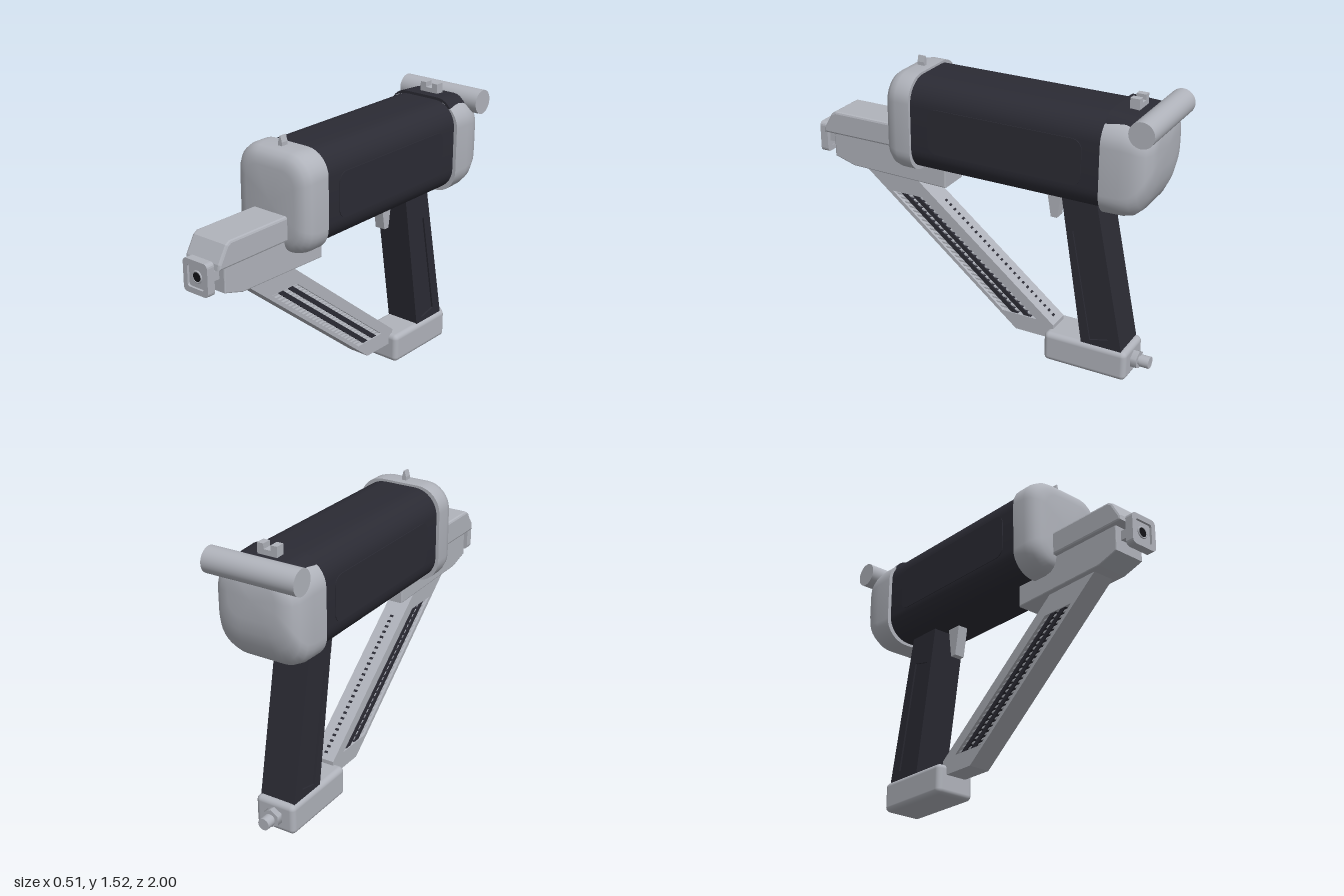
import * as THREE from 'three';
import { toCreasedNormals } from 'three/addons/utils/BufferGeometryUtils.js';
import { RoundedBoxGeometry } from 'three/addons/geometries/RoundedBoxGeometry.js';

const metal = new THREE.MeshStandardMaterial({ color: 0xb0b3bb });
metal.name = 'light grey';
const dark = new THREE.MeshStandardMaterial({ color: 0x2b2b34 });
dark.name = 'charcoal';
const black = new THREE.MeshStandardMaterial({ color: 0x121215 });
black.name = 'bore black';

// Rounded rectangle outline: half width, bottom, top, corner radius
function section(hw, y0, y1, r, segs = 8) {
  const pts = [];
  [[hw - r, y1 - r], [r - hw, y1 - r], [r - hw, y0 + r], [hw - r, y0 + r]].forEach(([x, y], c) => {
    for (let i = 0; i <= segs; i++) {
      const a = (c + i / segs) * Math.PI / 2;
      pts.push([x + r * Math.cos(a), y + r * Math.sin(a)]);
    }
  });
  return pts;
}

// Closed loft through rounded sections [z, hw, y0, y1, r], ordered by rising z
function loft(rings) {
  const pos = [], idx = [];
  const outlines = rings.map(([z, ...s]) => section(...s).map(([x, y]) => [x, y, z]));
  const n = outlines[0].length;
  outlines.flat().forEach(p => pos.push(...p));
  for (let i = 0; i < rings.length - 1; i++) {
    for (let j = 0; j < n; j++) {
      const a = i * n + j, b = i * n + (j + 1) % n;
      idx.push(a, b, b + n, a, b + n, a + n);
    }
  }
  [0, rings.length - 1].forEach((k, end) => {
    const [z, , y0, y1] = rings[k], c = pos.length / 3;
    pos.push(0, (y0 + y1) / 2, z);
    for (let j = 0; j < n; j++) {
      const a = k * n + j, b = k * n + (j + 1) % n;
      idx.push(c, ...(end ? [a, b] : [b, a]));
    }
  });
  const g = new THREE.BufferGeometry();
  g.setAttribute('position', new THREE.Float32BufferAttribute(pos, 3));
  g.setIndex(idx);
  return toCreasedNormals(g, 0.75);
}

const poly = pts => pts.map(([z, y]) => new THREE.Vector2(z, y));

// Side profile in (z, y), extruded across x; bevel rounds the long edges
function side(pts, width, { hole, bevel = 0 } = {}) {
  const shape = new THREE.Shape(poly(pts));
  if (hole) shape.holes.push(new THREE.Path(poly(hole)));
  const depth = width - 2 * bevel;
  const g = new THREE.ExtrudeGeometry(shape, {
    depth, bevelEnabled: bevel > 0, bevelSize: bevel, bevelOffset: -bevel,
    bevelThickness: bevel, bevelSegments: 2, curveSegments: 8,
  });
  g.translate(0, 0, -depth / 2).rotateY(-Math.PI / 2);
  return g;
}

export function createModel() {
  const model = new THREE.Group();
  const add = (name, geo, mat, x = 0, y = 0, z = 0) => {
    const m = new THREE.Mesh(geo, mat);
    m.name = name;
    m.position.set(x, y, z);
    model.add(m);
    return m;
  };
  const box = (w, h, d) => new THREE.BoxGeometry(w, h, d);

  // Main housing and its end caps
  add('housing', loft([[-0.74, 0.22, 0.965, 1.46, 0.13], [0.35, 0.22, 0.965, 1.46, 0.13]]), dark);
  add('frontCap', loft([
    [0.33, 0.237, 0.95, 1.472, 0.13], [0.41, 0.237, 0.95, 1.472, 0.13],
    [0.445, 0.23, 0.957, 1.465, 0.13], [0.47, 0.212, 0.975, 1.447, 0.12],
    [0.485, 0.187, 1.0, 1.42, 0.1], [0.491, 0.155, 1.035, 1.385, 0.08],
  ]), metal);
  add('rearCap', loft([
    [-0.97, 0.13, 1.2, 1.385, 0.07], [-0.962, 0.175, 1.13, 1.41, 0.1],
    [-0.94, 0.207, 1.06, 1.425, 0.12], [-0.91, 0.226, 1.0, 1.44, 0.13],
    [-0.87, 0.236, 0.965, 1.45, 0.13], [-0.82, 0.24, 0.953, 1.455, 0.13],
    [-0.72, 0.24, 0.95, 1.455, 0.13],
  ]), metal);
  add('rearTopCover', loft([[-0.88, 0.203, 1.25, 1.465, 0.1], [-0.72, 0.205, 1.25, 1.474, 0.1]]), dark);

  // Rounded panels on both sides of the housing
  const panel = new THREE.Shape(section(0.425, -0.12, 0.12, 0.05).map(p => new THREE.Vector2(...p)));
  for (const s of [-1, 1]) {
    const g = new THREE.ExtrudeGeometry(panel, { depth: 0.008, bevelEnabled: false });
    g.translate(0, 0, -0.004).rotateY(Math.PI / 2);
    add('sidePanel', g, dark, s * 0.22, 1.215, -0.195);
  }

  // Cross handle and sights
  const bar = new THREE.CylinderGeometry(0.066, 0.066, 0.51, 32);
  add('crossHandle', bar.rotateZ(Math.PI / 2), metal, 0, 1.43, -0.931);
  add('rearSightBase', box(0.11, 0.03, 0.05), metal, 0, 1.48, -0.81);
  for (const s of [-1, 1]) add('rearSightPost', box(0.035, 0.05, 0.05), metal, s * 0.0375, 1.497, -0.81);
  const blade = new THREE.Shape(poly([[-0.012, 1.45], [0.012, 1.45], [0.012, 1.49], [0.003, 1.522], [-0.003, 1.522], [-0.012, 1.49]]));
  add('frontSight', new THREE.ExtrudeGeometry(blade, { depth: 0.04, bevelEnabled: false }), metal, 0, 0, 0.37);

  // Nose: upper shroud and lower block
  add('upperShroud', side([[0.3, 1.03], [0.955, 1.03], [0.95, 1.06], [0.9, 1.145], [0.875, 1.16], [0.3, 1.16]],
    0.225, { bevel: 0.012 }), metal);
  add('lowerBlock', side([[0.21, 0.85], [0.78, 0.86], [0.9, 0.895], [0.9, 1.04], [0.21, 1.04]],
    0.18, { bevel: 0.006 }), metal);

  // Muzzle: neck, framed front plate and bore
  add('muzzleNeck', box(0.11, 0.05, 0.1), metal, 0, 0.985, 0.93);
  const frame = new THREE.Shape(section(0.08, -0.085, 0.085, 0.022, 4).map(p => new THREE.Vector2(...p)));
  frame.holes.push(new THREE.Path(section(0.053, -0.056, 0.056, 0.012, 4).map(p => new THREE.Vector2(...p))));
  add('muzzleFrame', new THREE.ExtrudeGeometry(frame, { depth: 0.045, bevelEnabled: false }), metal, 0, 0.985, 0.955);
  add('muzzlePlate', box(0.115, 0.12, 0.03), metal, 0, 0.985, 0.972);
  const ring = new THREE.TorusGeometry(0.028, 0.005, 8, 24);
  add('boreRim', ring, metal, 0, 0.985, 0.988);
  add('bore', new THREE.CylinderGeometry(0.026, 0.026, 0.006, 24).rotateX(Math.PI / 2), black, 0, 0.985, 0.988);

  // Diagonal strut with an open slot
  const slot = [[0.555, 0.75], [0.37, 0.75], [-0.32, 0.2], [-0.12, 0.2]];
  add('strut', side([[0.73, 0.865], [0.42, 0.865], [-0.42, 0.19], [-0.42, 0.11], [-0.2, 0.11]], 0.125, { hole: slot }), metal);
  // Two dark rails and a ladder of slats inside the slot
  const across = (y, f) => {
    const t = (y - 0.2) / 0.55;
    const front = -0.12 + 0.675 * t, back = -0.32 + 0.69 * t;
    return [front + (back - front) * f, y];
  };
  for (const f of [0.24, 0.62]) {
    add('strutRail', side([across(0.2, f), across(0.75, f), across(0.75, f + 0.2), across(0.2, f + 0.2)], 0.112), dark);
  }
  const count = 26;
  for (let i = 0; i < count; i++) {
    const y = 0.215 + 0.52 * i / (count - 1);
    const [a] = across(y, 0), [b] = across(y, 1);
    add('strutSlat', box(0.1, 0.009, a - b + 0.01), metal, 0, y, (a + b) / 2);
    // Small perforations along the upper rear face
    const dot = add('strutPerforation', box(0.02, 0.004, 0.012), dark, 0, y, -0.42 + 0.84 * (y - 0.19) / 0.675);
    dot.rotation.x = -Math.atan2(0.675, 0.84);
  }

  // Grip: core with recessed side panels
  const gripOutline = [[-0.46, 1.0], [-0.65, 1.0], [-0.825, 0.15], [-0.6, 0.15]];
  const gripHole = [[-0.53, 0.785], [-0.635, 0.81], [-0.75, 0.215], [-0.645, 0.19]];
  add('gripCore', side(gripOutline, 0.18), dark);
  for (const s of [-1, 1]) {
    add('gripSide', side(gripOutline, 0.012, { hole: gripHole }), dark, s * 0.094);
  }

  // Trigger
  add('trigger', side([[-0.345, 0.98], [-0.435, 0.98], [-0.41, 0.8], [-0.375, 0.8]], 0.06), metal);

  // Base block with rear connector
  add('base', new RoundedBoxGeometry(0.23, 0.165, 0.465, 4, 0.028), metal, 0, 0.0855, -0.62);
  const rod = (r, len, n) => new THREE.CylinderGeometry(r, r, len, n).rotateX(Math.PI / 2);
  add('connectorNut', rod(0.05, 0.035, 6), metal, 0, 0.087, -0.868);
  add('connectorStem', rod(0.024, 0.09, 20), metal, 0, 0.087, -0.89);
  add('connectorTip', rod(0.032, 0.05, 20), metal, 0, 0.087, -0.92);

  return model;
}
